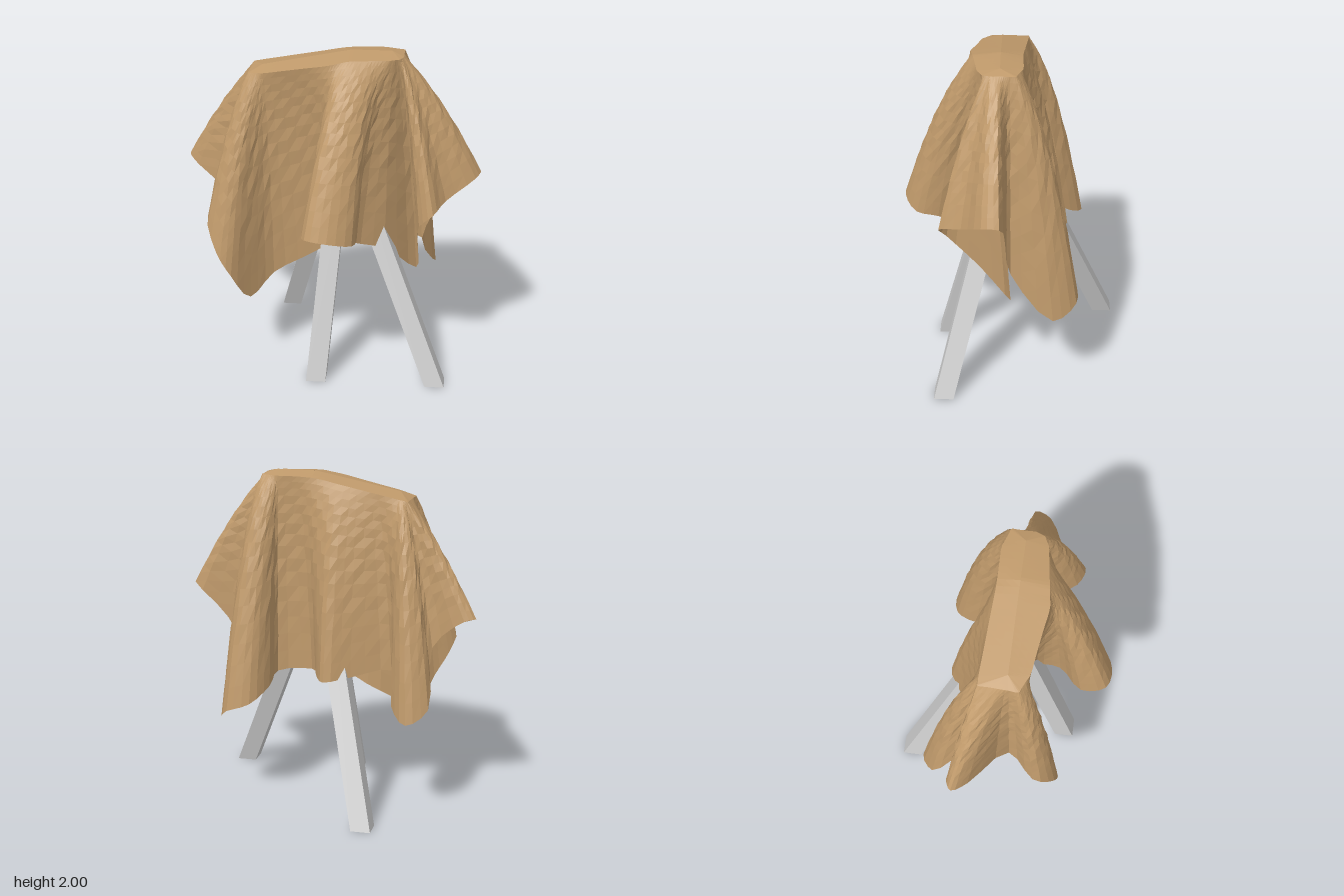
import * as THREE from 'three';

// Folds in order left -> front -> right -> back.
// rim: where the fold starts on the top edge [x, z]; hem: points along its bottom edge.
const FOLDS = [
  { rim: [-0.47, -0.1], hem: [[-0.84, 1.2, -0.245], [-0.905, 1.21, -0.21], [-0.84, 1.17, -0.12], [-0.58, 1.02, 0.09]] },
  { rim: [-0.48, 0.13], hem: [[-0.72, 1.0, 0.25], [-0.66, 0.82, 0.38], [-0.57, 0.66, 0.39], [-0.47, 0.47, 0.28]] },
  { rim: [-0.38, 0.18], hem: [[-0.34, 0.58, 0.15], [-0.12, 0.7, 0.12], [0.05, 0.84, 0.18]] },
  { rim: [0.0, 0.24], hem: [[0.03, 0.92, 0.33], [-0.12, 0.99, 0.47], [-0.1, 1.03, 0.62], [0.03, 1.02, 0.645],
    [0.17, 0.98, 0.57], [0.19, 0.96, 0.44]] },
  { rim: [0.35, 0.19], hem: [[0.16, 0.89, 0.33], [0.34, 0.8, 0.2], [0.53, 0.58, 0.0]] },
  { rim: [0.41, 0.16], hem: [[0.54, 0.82, 0.18], [0.55, 1.03, 0.37], [0.63, 1.12, 0.41], [0.7, 1.16, 0.28]] },
  { rim: [0.43, 0.11], hem: [[0.87, 1.26, 0.16], [0.9, 1.27, 0.06], [0.68, 1.06, 0.03], [0.56, 0.78, 0.0]] },
  { rim: [0.43, -0.03], hem: [[0.645, 0.51, -0.25], [0.57, 0.59, -0.39], [0.43, 0.64, -0.38], [0.34, 0.72, -0.24]] },
  { rim: [0.32, -0.07], hem: [[0.33, 0.77, -0.08], [0.11, 0.8, -0.09]] },
  { rim: [0.08, -0.07], hem: [[0.045, 0.8, -0.24], [-0.02, 0.8, -0.345], [-0.17, 0.82, -0.27], [-0.4, 0.85, -0.17]] },
  { rim: [-0.41, -0.1], hem: [[-0.43, 0.68, -0.33], [-0.54, 0.61, -0.455], [-0.66, 0.69, -0.38], [-0.65, 1.02, -0.21]] },
];
const CAP_ROWS = 3, DROP_ROWS = 16;

// Height of the sloping ridge under the cloth
const ridgeY = x => Math.min(2, 1.975 + 0.2 * x);

function clothGeometry() {
  const hemPts = [], rimPts = [];
  FOLDS.forEach((fold, f) => {
    const next = FOLDS[(f + 1) % FOLDS.length].rim;
    fold.hem.forEach((p, k) => {
      const s = k / fold.hem.length;
      const x = THREE.MathUtils.lerp(fold.rim[0], next[0], s);
      const z = THREE.MathUtils.lerp(fold.rim[1], next[1], s);
      hemPts.push(new THREE.Vector3(...p));
      rimPts.push(new THREE.Vector3(x, ridgeY(x) - 0.02, z));
    });
  });
  const hem = new THREE.CatmullRomCurve3(hemPts, true);
  const rim = new THREE.CatmullRomCurve3(rimPts, true);
  const around = hemPts.length * 3, rows = CAP_ROWS + DROP_ROWS;
  const pos = [], index = [];

  for (let i = 0; i < around; i++) {
    const top = rim.getPoint(i / around), end = hem.getPoint(i / around);
    const spineX = THREE.MathUtils.clamp(top.x, -0.4, 0.36);
    const spine = new THREE.Vector3(spineX, ridgeY(spineX), 0.06);
    // Longer drops bulge outward more
    const mid = top.clone().lerp(end, 0.5);
    mid.y += 0.5 * Math.max(0, top.y - end.y - 0.5);
    const drop = new THREE.QuadraticBezierCurve3(top, mid, end);
    for (let j = 0; j <= rows; j++) {
      const t = (j - CAP_ROWS) / DROP_ROWS;
      const p = t < 0 ? spine.clone().lerp(top, j / CAP_ROWS) : drop.getPoint(t);
      if (t > 0) { // slight wrinkles, fading at the rim and hem
        const w = 0.004 * Math.sin(Math.PI * t);
        p.x += w * Math.sin(i * 2.3 + j * 1.7);
        p.z += w * Math.sin(i * 1.9 - j * 2.1 + 1);
      }
      pos.push(p.x, p.y, p.z);
    }
  }
  for (let i = 0; i < around; i++) {
    for (let j = 0; j < rows; j++) {
      const a = i * (rows + 1) + j, b = ((i + 1) % around) * (rows + 1) + j;
      index.push(a, a + 1, b, b, a + 1, b + 1);
    }
  }
  const geo = new THREE.BufferGeometry();
  geo.setAttribute('position', new THREE.Float32BufferAttribute(pos, 3));
  geo.setIndex(index);
  geo.computeVertexNormals();
  return geo;
}

// Square post sheared so its foot lies flat and its top reaches the apex
function legGeometry(footX, footZ) {
  const apex = new THREE.Vector3(0.07, 1.44, 0.01);
  const geo = new THREE.BoxGeometry(0.118, apex.y, 0.118).translate(0, apex.y / 2, 0);
  const p = geo.attributes.position;
  for (let i = 0; i < p.count; i++) {
    const t = p.getY(i) / apex.y;
    p.setX(i, p.getX(i) + THREE.MathUtils.lerp(footX, apex.x, t));
    p.setZ(i, p.getZ(i) + THREE.MathUtils.lerp(footZ, apex.z, t));
  }
  geo.computeVertexNormals();
  return geo;
}

export function createModel() {
  const model = new THREE.Group();
  model.name = 'drapedTripod';

  const cloth = new THREE.Mesh(clothGeometry(), new THREE.MeshStandardMaterial({
    color: 0xc09a6b, flatShading: true, side: THREE.DoubleSide,
  }));
  cloth.name = 'drapedCloth';
  model.add(cloth);

  const grey = new THREE.MeshStandardMaterial({ color: 0xcccccc, flatShading: true });
  const feet = { frontLeg: [-0.053, 0.402], leftLeg: [0.67, 0.4], backLeg: [-0.317, -0.59] };
  for (const [name, [x, z]] of Object.entries(feet)) {
    const leg = new THREE.Mesh(legGeometry(x, z), grey);
    leg.name = name;
    model.add(leg);
  }
  return model;
}
